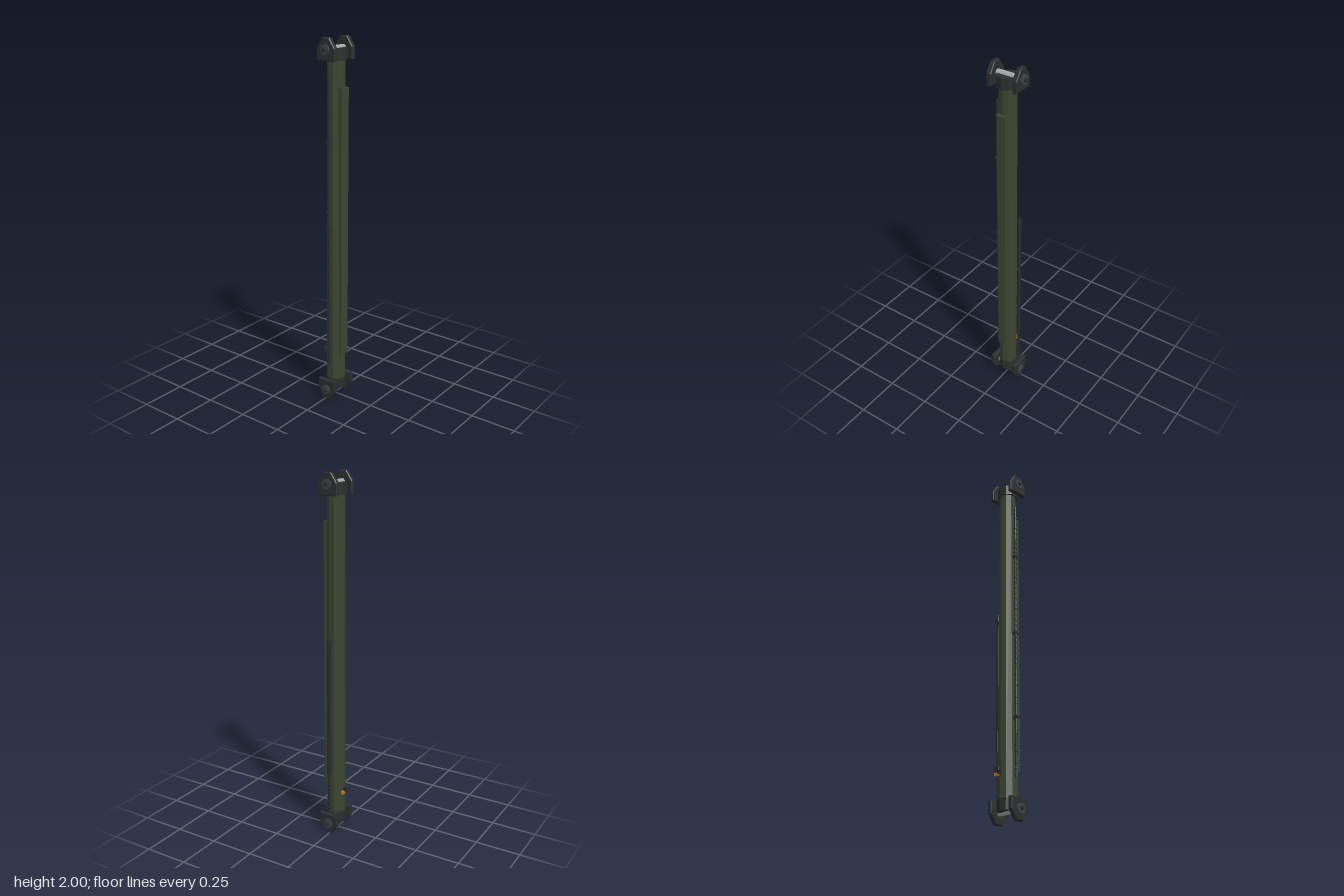
import * as THREE from 'three';

const AXIS_Z = 0.008; // the column sits slightly forward of the origin

export function createModel() {
  const mat = (name, color, flatShading = true) => {
    const m = new THREE.MeshStandardMaterial({ color, flatShading });
    m.name = name;
    return m;
  };
  const green = mat('olive green', 0x3b4530);
  const black = mat('black iron', 0x2c2d2e);
  const dark = mat('dark rod', 0x2a2a2f);
  const washerGrey = mat('washer grey', 0x3c4248);
  const steel = mat('bright steel', 0xa4a8a8);
  const orange = mat('orange', 0xd07a20);

  const model = new THREE.Group();
  model.name = 'strut';
  const add = (parent, name, geo, material, x = 0, y = 0, z = 0) => {
    const mesh = new THREE.Mesh(geo, material);
    mesh.name = name;
    mesh.position.set(x, y, z);
    parent.add(mesh);
    return mesh;
  };
  // cylinder between two heights
  const rod = (parent, name, r, y0, y1, material, x, sides = 8, rTop = r) =>
    add(parent, name, new THREE.CylinderGeometry(rTop, r, y1 - y0, sides), material, x, (y0 + y1) / 2, 0);
  // cylinder lying along x
  const crossRod = (parent, name, r, x0, x1, y, material, sides = 12) => {
    const geo = new THREE.CylinderGeometry(r, r, x1 - x0, sides).rotateZ(Math.PI / 2);
    return add(parent, name, geo, material, (x0 + x1) / 2, y, 0);
  };
  // outline extruded to a depth with a small bevel, all within the given depth
  const plate = (points, depth, bevel) => {
    const shape = new THREE.Shape(points.map(([a, b]) => new THREE.Vector2(a, b)));
    const geo = new THREE.ExtrudeGeometry(shape, {
      depth: depth - 2 * bevel, bevelEnabled: true, bevelThickness: bevel,
      bevelSize: bevel, bevelOffset: -bevel, bevelSegments: 1,
    });
    return geo.translate(0, 0, bevel - depth / 2);
  };
  const rect = (w, h) => [[-w / 2, -h / 2], [w / 2, -h / 2], [w / 2, h / 2], [-w / 2, h / 2]];

  const column = new THREE.Group();
  column.name = 'column';
  column.position.z = AXIS_Z;
  model.add(column);

  // main tube, slightly tapered
  rod(column, 'mainTube', 0.052, 0.1, 1.9, green, 0, 10, 0.047);

  // front cover strip
  add(column, 'frontCover', plate(rect(0.057, 1.49), 0.03, 0.004), green, 0, 1.005, 0.047);

  // clevis at each end: collar, two ears, cross pin, washers and nuts
  const earOutline = [[-0.056, -0.115], [0.056, -0.115], [0.056, -0.052], [0.021, 0], [-0.021, 0], [-0.056, -0.052]];
  const earGeo = plate(earOutline, 0.027, 0.004).rotateY(Math.PI / 2);
  for (const end of [1, -1]) {
    const clevis = new THREE.Group();
    clevis.name = end > 0 ? 'topClevis' : 'bottomClevis';
    clevis.position.y = end > 0 ? 2 : 0;
    if (end < 0) clevis.rotation.x = Math.PI;
    column.add(clevis);
    rod(clevis, 'collar', 0.056, -0.115, -0.056, black, 0, 10);
    crossRod(clevis, 'crossPin', 0.016, -0.062, 0.062, -0.058, steel);
    for (const s of [1, -1]) {
      add(clevis, 'ear', earGeo, black, s * 0.0738, 0, 0);
      const span = (a, b) => (s > 0 ? [a, b] : [-b, -a]);
      crossRod(clevis, 'washer', 0.026, ...span(0.086, 0.097), -0.058, washerGrey, 12);
      crossRod(clevis, 'pinEnd', 0.0105, ...span(0.096, 0.107), -0.058, black, 8);
    }
  }

  // ribbed hose along the right side
  const hose = new THREE.Group();
  hose.name = 'ribbedHose';
  column.add(hose);
  const hx = -0.062;
  rod(hose, 'hoseCore', 0.006, 0.21, 1.8, black, hx);
  for (let i = 0; i < 50; i++) {
    const y = 0.225 + (i * 1.56) / 49;
    rod(hose, 'hoseRib', 0.009, y - 0.005, y + 0.005, black, hx);
  }
  for (const y of [0.53, 1.0, 1.47]) {
    add(hose, 'hoseClamp', new THREE.BoxGeometry(0.026, 0.014, 0.022), black, hx, y, 0);
  }

  // slim sleeve on the left side with a beaded lower rod
  const sideRod = new THREE.Group();
  sideRod.name = 'sideRod';
  column.add(sideRod);
  const rx = 0.073;
  rod(sideRod, 'sleeve', 0.0105, 0.36, 1.13, dark, rx, 10);
  rod(sideRod, 'sleeveCollar', 0.013, 1.115, 1.132, dark, rx, 10);
  rod(sideRod, 'sleeveCap', 0.008, 1.13, 1.155, dark, rx, 10, 0.005);
  rod(sideRod, 'innerRod', 0.004, 0.14, 0.37, dark, rx);
  for (let i = 0; i < 7; i++) {
    const y = 0.345 - i * 0.0275;
    rod(sideRod, 'bead', 0.008, y - 0.006, y + 0.006, dark, rx);
  }
  rod(sideRod, 'rodEnd', 0.01, 0.138, 0.152, dark, rx);

  // valve block on the back with an orange tab
  add(model, 'valveStem', new THREE.BoxGeometry(0.02, 0.03, 0.026), black, 0, 0.25, -0.045);
  add(model, 'valveHandle', plate(rect(0.036, 0.027), 0.026, 0.003), black, 0, 0.258, -0.059);
  add(model, 'orangeTab', new THREE.BoxGeometry(0.026, 0.016, 0.014), orange, 0.02, 0.238, -0.049);

  return model;
}
